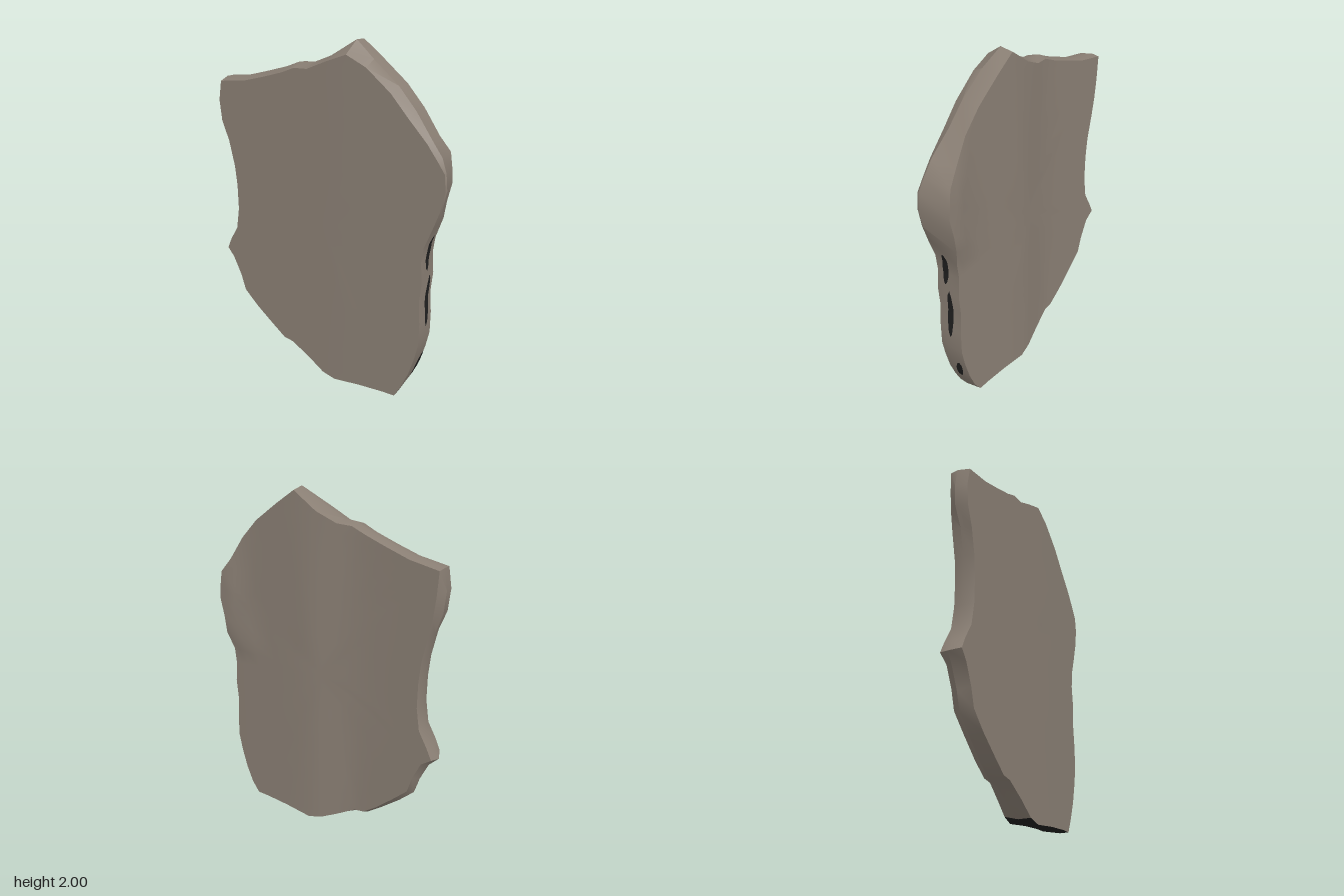
import * as THREE from 'three';
import { toCreasedNormals } from 'three/addons/utils/BufferGeometryUtils.js';

// Slab outline, clockwise from the peak, in runs that share the same edge shape:
// f / b = how far the front / back rim is set in, z = depth of the widest line
const RUNS = [
  { f: 0.06, b: 0.01, z: 0.0, p: [[0.15, 2]] },
  { f: 0.03, b: 0.01, z: 0.02, p: [[0.26, 1.92], [0.4, 1.81], [0.5, 1.7]] },
  { f: 0.02, b: 0.03, z: 0.04, p: [[0.6, 1.58], [0.66, 1.5]] },
  { f: 0.005, b: 0.05, z: 0.05, p: [[0.69, 1.43], [0.7, 1.34], [0.68, 1.23]] },
  { f: 0, b: 0.02, z: 0.03, p: [[0.64, 1.12]] },
  { f: 0, b: 0.005, z: 0.02, p: [[0.6, 1.01], [0.59, 0.92], [0.6, 0.8], [0.59, 0.68], [0.6, 0.55], [0.6, 0.42], [0.58, 0.32], [0.55, 0.21], [0.51, 0.11]] },
  { f: 0, b: 0.02, z: 0.02, p: [[0.47, 0.03], [0.4, 0.03], [0.25, 0.02], [0.08, 0], [0, 0.02]] },
  { f: 0.02, b: 0.02, z: 0.02, p: [[-0.1, 0.07], [-0.22, 0.14], [-0.28, 0.15], [-0.37, 0.22]] },
  { f: 0.02, b: 0.03, z: 0.03, p: [[-0.48, 0.31], [-0.57, 0.4], [-0.6, 0.5], [-0.65, 0.61]] },
  { f: 0.03, b: 0.02, z: 0.04, p: [[-0.7, 0.66]] },
  { f: 0.015, b: 0.01, z: 0.04, p: [[-0.66, 0.73], [-0.61, 0.82], [-0.59, 0.95], [-0.59, 1.1], [-0.6, 1.22], [-0.63, 1.37]] },
  { f: 0.015, b: 0.04, z: 0.03, p: [[-0.67, 1.48], [-0.68, 1.6]] },
  { f: 0.015, b: 0.005, z: 0.03, p: [[-0.66, 1.71]] },
  { f: 0.02, b: 0.01, z: 0.03, p: [[-0.5, 1.74], [-0.37, 1.78], [-0.25, 1.82], [-0.17, 1.855], [-0.09, 1.86], [0.02, 1.91]] },
];
const EDGE = RUNS.flatMap(({ f, b, z, p }) => p.map(([x, y]) => ({ x, y, f, b, z })));
const CY = 1;
const { lerp, smoothstep } = THREE.MathUtils;

// Depth of the gently twisted front face
const frontZ = (x) => (x < 0.1 ? lerp(0.1, 0.09, (x + 0.7) / 0.8) : lerp(0.09, 0.06, (x - 0.1) / 0.6));

// Depth of the back face, with a long soft step and a swelling near the right edge
function backZ(x, y) {
  const step = -0.015 - 0.058 * smoothstep(x, -0.25, 0.12) - 0.008 * smoothstep(x, 0.1, 0.6);
  const swell = smoothstep(x, 0.46, 0.58) * smoothstep(y, 1.02, 1.13) * (1 - smoothstep(y, 1.45, 1.64));
  return step - 0.03 * swell;
}

// Rim point pulled toward the slab's middle, then scaled for inner rings
function ringPoint(e, inset, scale) {
  const len = Math.hypot(e.x, e.y - CY);
  const k = (1 - inset / len) * scale;
  return [e.x * k, CY + (e.y - CY) * k];
}

// Rows run from the front's middle, over the edge, to the back's middle
function slabRows() {
  const scales = [0, 0.25, 0.5, 0.72, 0.86, 0.94, 1];
  const front = scales.map((s) => EDGE.map((e) => {
    const [x, y] = ringPoint(e, e.f, s);
    return [x, y, frontZ(x)];
  }));
  const back = scales.map((s) => EDGE.map((e) => {
    const [x, y] = ringPoint(e, e.b, s);
    return [x, y, backZ(x, y)];
  })).reverse();
  return [...front, EDGE.map((e) => [e.x, e.y, e.z]), ...back];
}

function toGeometry(points, crease) {
  const g = new THREE.BufferGeometry();
  g.setAttribute('position', new THREE.Float32BufferAttribute(points.flat(), 3));
  return toCreasedNormals(g, crease);
}

// x of the right edge at a given height
function rightEdgeX(y) {
  for (let i = 0; i < 19; i++) {
    const a = EDGE[i], b = EDGE[i + 1];
    if (y <= a.y && y >= b.y) return lerp(a.x, b.x, (a.y - y) / (a.y - b.y));
  }
  return 0.5;
}

// Thin dark patch lying on the right edge; lean shifts its upper end in z
function patchGeometry(y0, y1, z, half, lean) {
  const pts = [], n = 12;
  const row = (t) => {
    const y = lerp(y0, y1, t);
    const w = half * Math.pow(Math.max(0, Math.sin(Math.PI * t)), 0.45);
    const c = z + lean * (t - 0.5), x = rightEdgeX(y) + 0.004;
    return [[x, y, c + w], [x, y, c - w]];
  };
  for (let i = 0; i < n; i++) {
    const [a, b] = row(i / n), [d, c] = row((i + 1) / n);
    pts.push(a, b, c, a, c, d);
  }
  return toGeometry(pts, 0.6);
}

export function createModel() {
  const stone = new THREE.MeshStandardMaterial({ color: 0x8a7f74 });
  stone.name = 'warm grey stone';
  const dark = new THREE.MeshStandardMaterial({ color: 0x202020, side: THREE.DoubleSide });
  dark.name = 'dark stain';

  const group = new THREE.Group();
  group.name = 'stoneSlab';
  const add = (geometry, material, name) => {
    const mesh = new THREE.Mesh(geometry, material);
    mesh.name = name;
    group.add(mesh);
  };

  // Slab skin; the underside of the foot is dark
  const rows = slabRows(), n = EDGE.length;
  const slab = [], foot = [];
  const rim = 6;
  const footStart = EDGE.findIndex((e) => e.x === 0.47);
  for (let r = 0; r < rows.length - 1; r++) {
    for (let i = 0; i < n; i++) {
      const j = (i + 1) % n;
      const isFoot = (r === rim || r === rim + 1) && i >= footStart && i < footStart + 4;
      const out = isFoot ? foot : slab;
      const [a, b, c, d] = [rows[r][i], rows[r + 1][i], rows[r + 1][j], rows[r][j]];
      if (r < rows.length - 2) out.push(a, c, b);
      if (r > 0) out.push(a, d, c);
    }
  }
  add(toGeometry(slab, 0.55), stone, 'slab');
  add(toGeometry(foot, 0.55), dark, 'footUnderside');

  // Dark patches along the right edge
  const patches = [[0.85, 1.06, 0, 0.02, -0.015], [0.5, 0.82, -0.015, 0.02, -0.01], [0.16, 0.31, -0.02, 0.024, -0.04]];
  for (const p of patches) add(patchGeometry(...p), dark, 'edgePatch');

  return group;
}
